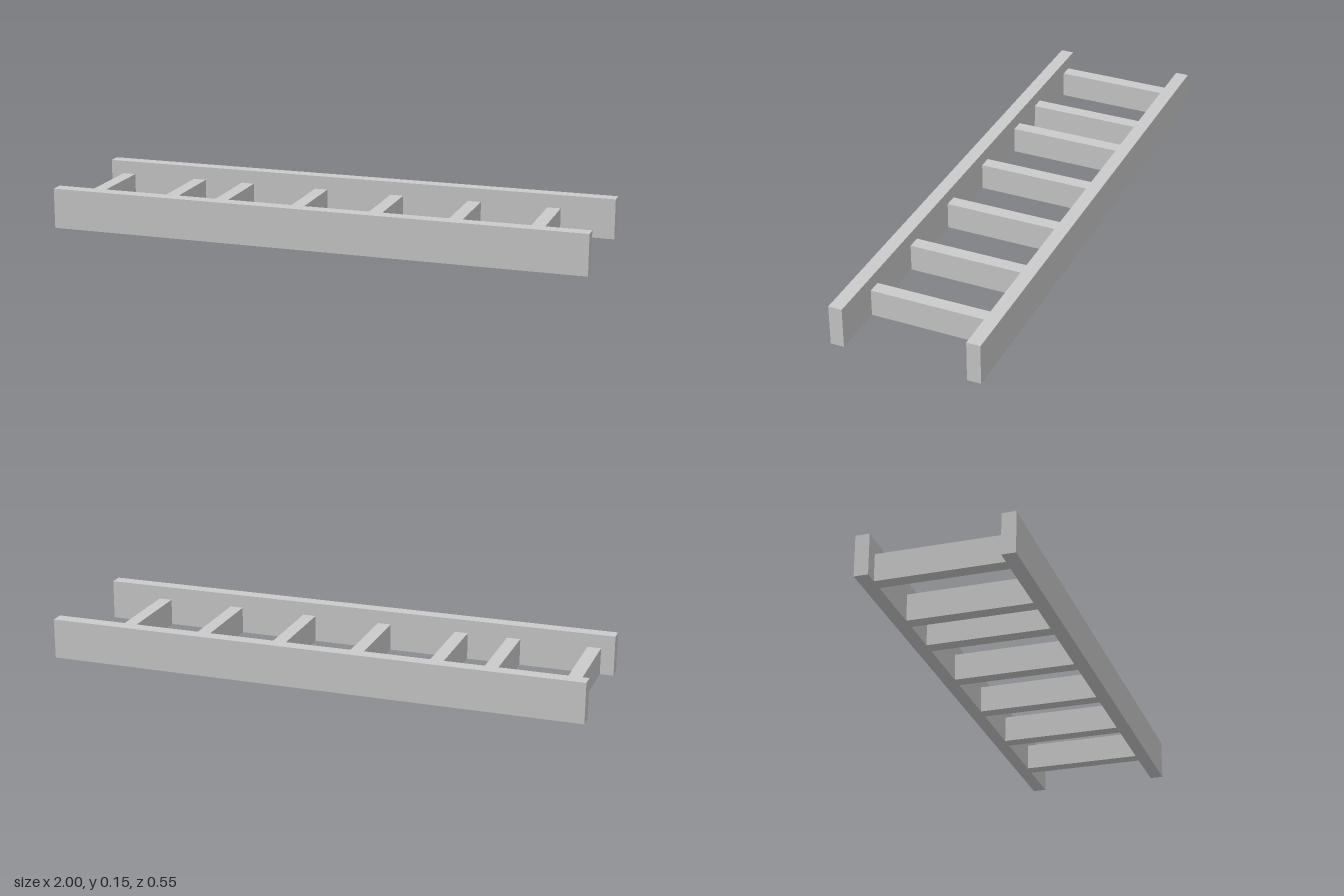
import * as THREE from 'three';

export function createModel() {
  const model = new THREE.Group();
  model.name = 'ladderFrame';
  const material = new THREE.MeshStandardMaterial({ color: 0xcccccc, flatShading: true });

  // Adds a box whose underside rests on y = 0
  const addBeam = (name, width, height, depth, x, z) => {
    const beam = new THREE.Mesh(new THREE.BoxGeometry(width, height, depth), material);
    beam.name = name;
    beam.position.set(x, height / 2, z);
    model.add(beam);
  };

  // Two long side rails
  addBeam('frontRail', 2, 0.15, 0.05, 0, 0.25);
  addBeam('backRail', 2, 0.15, 0.05, 0, -0.25);

  // Lower crosspieces between the rails, unevenly spaced near one end
  const rungPositions = [-0.925, -0.625, -0.425, -0.125, 0.175, 0.475, 0.775];
  rungPositions.forEach((x, i) => addBeam(`rung${i + 1}`, 0.05, 0.1, 0.45, x, 0));

  return model;
}
